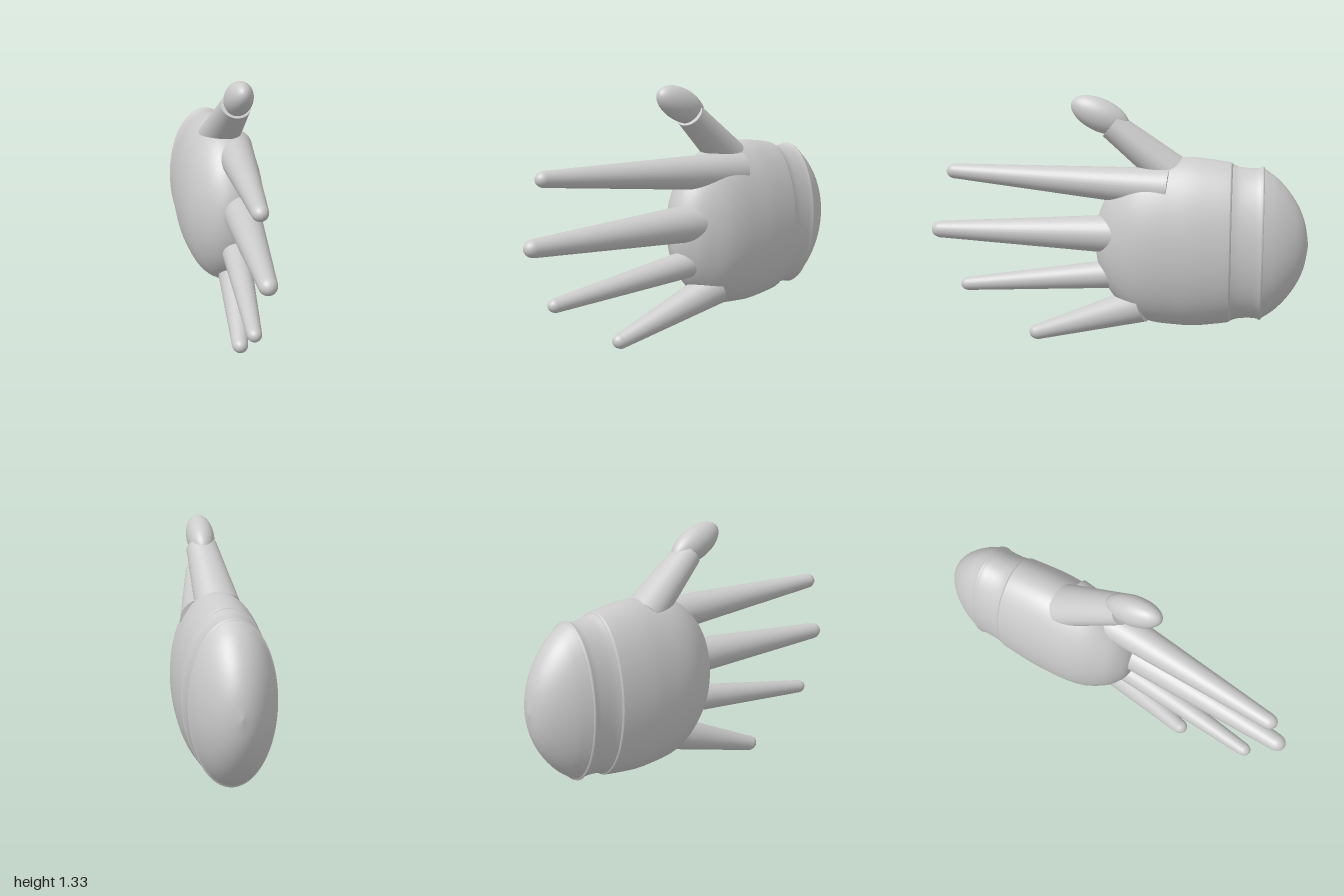
import * as THREE from 'three';

const material = new THREE.MeshStandardMaterial({ color: 0xcccccc, side: THREE.DoubleSide });
const V = (p) => new THREE.Vector3(...p);

// Elliptical shell around the z axis; profile holds [half height, z], back to front
function shell(name, profile, smooth = true) {
  let points = profile.map(([r, z]) => new THREE.Vector2(r, z));
  if (smooth) {
    points = new THREE.SplineCurve(points).getPoints(40);
    points.forEach((p) => { p.x = Math.max(p.x, 0); });
  }
  const geometry = new THREE.LatheGeometry(points, 64);
  geometry.rotateX(Math.PI / 2).scale(0.52, 1, 1).translate(0, 0.573, 0);
  const mesh = new THREE.Mesh(geometry, material);
  mesh.name = name;
  return mesh;
}

// Places a mesh whose local y axis runs from a to b
function alongAxis(geometry, a, b, name) {
  const mesh = new THREE.Mesh(geometry, material);
  mesh.position.copy(a).lerp(b, 0.5);
  mesh.quaternion.setFromUnitVectors(new THREE.Vector3(0, 1, 0), b.clone().sub(a).normalize());
  mesh.name = name;
  return mesh;
}

// Tapered finger with a rounded tip
function finger(name, base, baseRadius, tip, tipRadius) {
  const a = V(base), b = V(tip);
  const group = new THREE.Group();
  group.name = name;
  group.add(alongAxis(new THREE.CylinderGeometry(tipRadius, baseRadius, a.distanceTo(b), 32), a, b, name + 'Shaft'));
  const end = new THREE.Mesh(new THREE.SphereGeometry(tipRadius, 32, 20), material);
  end.position.copy(b);
  end.scale.z = 1.2;
  end.name = name + 'Tip';
  group.add(end);
  return group;
}

export function createModel() {
  const hand = new THREE.Group();
  hand.name = 'hand';

  // Palm, wrist band and rounded wrist end
  hand.add(shell('palm', [[0.42, -0.6], [0.43, -0.54], [0.444, -0.42], [0.442, -0.32], [0.43, -0.2],
    [0.39, -0.1], [0.3, 0], [0.21, 0.055], [0.11, 0.09], [0, 0.1]]));
  hand.add(shell('palmBackRim', [[0.385, -0.612], [0.412, -0.61], [0.42, -0.6]], false));
  hand.add(shell('wristBand', [[0.398, -0.755], [0.393, -0.73], [0.394, -0.68], [0.4, -0.64], [0.412, -0.61]]));
  hand.add(shell('wristLip', [[0.385, -0.772], [0.4, -0.768], [0.403, -0.76], [0.398, -0.752]], false));
  hand.add(shell('wristEnd', [[0, -1], [0.11, -0.982], [0.2, -0.947], [0.28, -0.895], [0.34, -0.84],
    [0.375, -0.795], [0.395, -0.765]]));

  // Four fingers
  hand.add(finger('indexFinger', [0.075, 0.865, -0.29], 0.105, [-0.042, 0.917, 0.865], 0.04));
  hand.add(finger('middleFinger', [0.06, 0.618, -0.08], 0.105, [-0.022, 0.602, 0.945], 0.045));
  hand.add(finger('ringFinger', [0.035, 0.41, -0.1], 0.08, [-0.05, 0.298, 0.81], 0.036));
  hand.add(finger('littleFinger', [0.05, 0.245, -0.15], 0.095, [-0.035, 0.045, 0.425], 0.041));

  // Thumb: wide tapered shaft with an egg-shaped end
  const thumb = new THREE.Group();
  thumb.name = 'thumb';
  const base = V([-0.005, 0.93, -0.3]), knuckle = V([0.028, 1.18, 0.015]);
  const shaft = alongAxis(new THREE.CylinderGeometry(0.071, 0.1, base.distanceTo(knuckle), 40), base, knuckle, 'thumbShaft');
  shaft.scale.x = 1.12;
  thumb.add(shaft);
  const end = alongAxis(new THREE.SphereGeometry(1, 40, 28), V([0.028, 1.165, -0.07]), V([0.028, 1.295, 0.215]), 'thumbTip');
  end.scale.set(0.071, 0.162, 0.084);
  thumb.add(end);
  hand.add(thumb);

  return hand;
}
